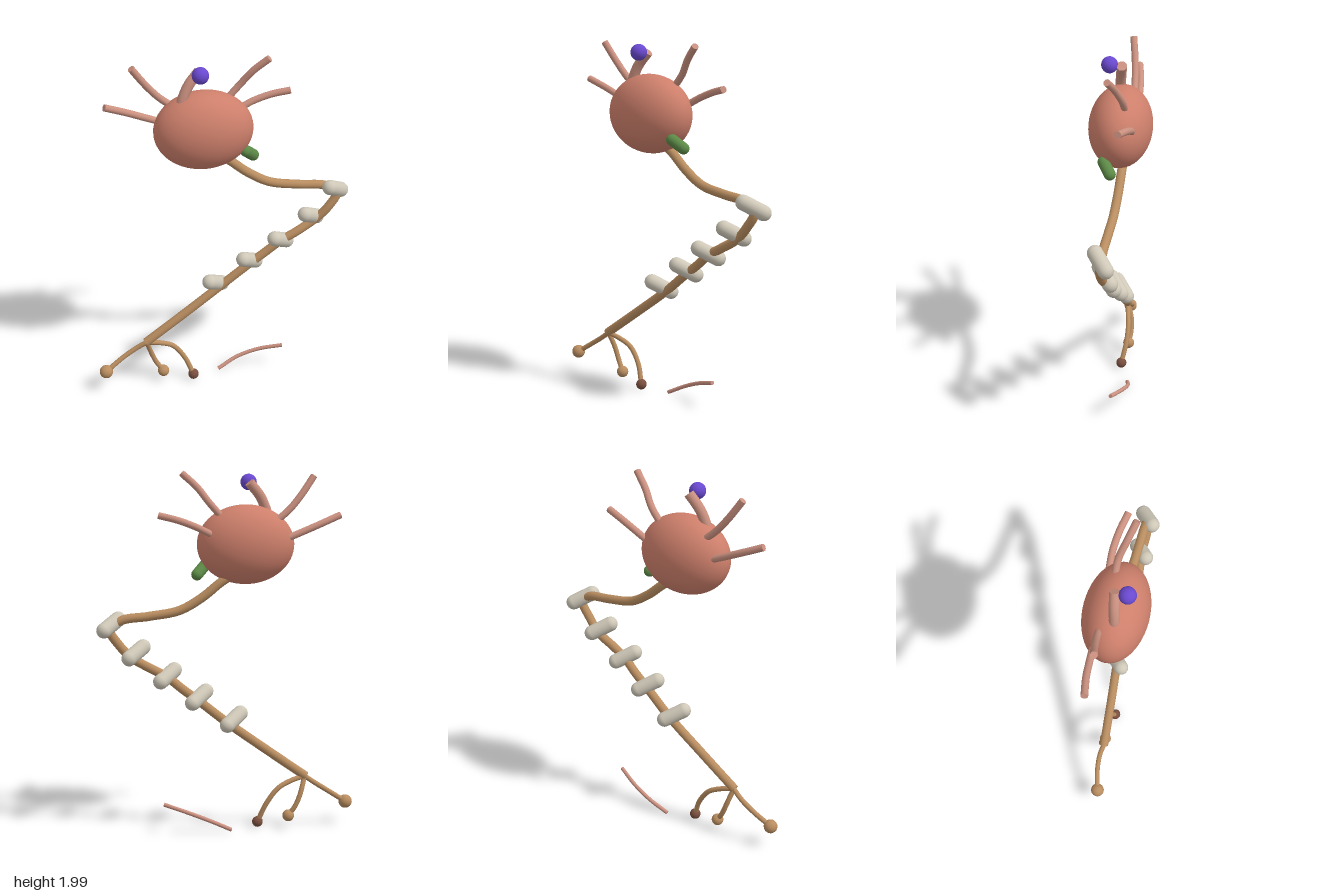
import * as THREE from 'three';

const paint = (name, color) => {
  const m = new THREE.MeshStandardMaterial({ color });
  m.name = name;
  return m;
};

export function createModel() {
  const bodyPink = paint('bodyPink', 0xcd7f6b);
  const branchPink = paint('branchPink', 0xcb9180);
  const tan = paint('tan', 0xb98d60);
  const cream = paint('cream', 0xcfc8b8);
  const brown = paint('brown', 0x7a4f3e);
  const green = paint('green', 0x5d8a47);
  const violet = paint('violet', 0x6a49d0);

  const model = new THREE.Group();
  model.name = 'nerveCell';
  const vec = (p) => new THREE.Vector3(...p);

  const add = (name, geometry, material, parent = model) => {
    const mesh = new THREE.Mesh(geometry, material);
    mesh.name = name;
    parent.add(mesh);
    return mesh;
  };

  const ball = (name, p, r, material) =>
    add(name, new THREE.SphereGeometry(r, 24, 16), material).position.set(...p);

  // Smooth tube through the points, closed by a flat disc at each end
  const tube = (name, points, r, material) => {
    const group = new THREE.Group();
    group.name = name;
    model.add(group);
    const curve = new THREE.CatmullRomCurve3(points.map(vec));
    add(name + 'Tube', new THREE.TubeGeometry(curve, points.length * 10, r, 14), material, group);
    for (const t of [0, 1]) {
      const cap = add(name + 'End', new THREE.CircleGeometry(r, 14), material, group);
      const outward = curve.getTangentAt(t).multiplyScalar(t ? 1 : -1);
      cap.position.copy(curve.getPointAt(t));
      cap.quaternion.setFromUnitVectors(new THREE.Vector3(0, 0, 1), outward);
    }
  };

  // Capsule whose round ends are centred on a and b
  const capsule = (name, a, b, r, material) => {
    const from = vec(a), to = vec(b);
    const axis = to.clone().sub(from);
    const mesh = add(name, new THREE.CapsuleGeometry(r, axis.length(), 8, 20), material);
    mesh.position.copy(from).add(to).multiplyScalar(0.5);
    mesh.quaternion.setFromUnitVectors(new THREE.Vector3(0, 1, 0), axis.normalize());
  };

  // Cell body
  const body = add('cellBody', new THREE.SphereGeometry(1, 48, 32), bodyPink);
  body.scale.set(0.268, 0.217, 0.172);
  body.position.set(-0.102, 1.6, -0.004);

  // Branches on the cell body
  const branches = [
    [[-0.32, 1.635, -0.07], [-0.42, 1.675, -0.065], [-0.51, 1.712, -0.058], [-0.62, 1.757, -0.038]],
    [[-0.25, 1.72, -0.055], [-0.33, 1.785, -0.05], [-0.4, 1.865, -0.04], [-0.475, 1.97, -0.022]],
    [[0.03, 1.745, -0.045], [0.1, 1.825, -0.04], [0.165, 1.91, -0.012], [0.245, 1.985, 0.018]],
    [[0.1, 1.66, -0.09], [0.18, 1.7, -0.092], [0.28, 1.737, -0.08], [0.38, 1.762, -0.056]],
  ];
  branches.forEach((points) => tube('branch', points, 0.019, branchPink));
  tube('middleBranch', [[-0.23, 1.74, 0.015], [-0.212, 1.8, 0.013], [-0.18, 1.865, 0.005], [-0.122, 1.935, -0.006]],
    0.028, branchPink);

  // Small bodies touching the cell
  ball('violetBall', [-0.128, 1.936, 0.06], 0.045, violet);
  capsule('greenCapsule', [0.115, 1.483, 0.057], [0.163, 1.436, 0.017], 0.032, green);

  // Long main fibre
  tube('mainFibre', [
    [-0.03, 1.44, -0.03], [0.04, 1.395, -0.028], [0.14, 1.315, -0.024], [0.265, 1.245, -0.018],
    [0.43, 1.215, -0.012], [0.58, 1.195, -0.008], [0.645, 1.15, -0.004], [0.595, 1.06, 0],
    [0.52, 0.985, -0.008], [0.42, 0.925, 0], [0.33, 0.875, -0.002], [0.25, 0.81, -0.01],
    [0.16, 0.742, -0.014], [0, 0.615, -0.02], [-0.22, 0.455, -0.01], [-0.445, 0.295, 0],
  ], 0.025, tan);

  // Sheath segments, given by centre
  const sheaths = [
    [0.636, 1.171, -0.005], [0.502, 1.016, -0.007], [0.33, 0.884, 0],
    [0.157, 0.763, -0.014], [-0.035, 0.635, -0.02],
  ];
  for (const [x, y, z] of sheaths)
    capsule('sheath', [x - 0.041, y + 0.027, z + 0.033], [x + 0.041, y - 0.027, z - 0.033], 0.042, cream);

  // Terminal twigs with end bulbs
  const twigs = [
    [[[-0.44, 0.295, 0], [-0.5, 0.255, -0.012], [-0.58, 0.203, -0.008], [-0.68, 0.136, 0.016]], 0.038, tan],
    [[[-0.44, 0.295, 0], [-0.415, 0.21, -0.025], [-0.385, 0.135, -0.028], [-0.345, 0.075, -0.018]], 0.033, tan],
    [[[-0.44, 0.295, 0], [-0.36, 0.273, -0.012], [-0.285, 0.235, -0.024], [-0.22, 0.15, -0.02], [-0.173, 0.041, 0.002]],
      0.03, brown],
  ];
  for (const [points, r, material] of twigs) {
    tube('terminalTwig', points, 0.014, tan);
    ball('terminalBulb', points.at(-1), r, material);
  }

  // Separate strand near the ground
  tube('looseStrand', [[-0.015, 0.016, -0.056], [0.1, 0.073, -0.075], [0.22, 0.12, -0.06], [0.355, 0.162, -0.012]],
    0.011, branchPink);

  return model;
}
